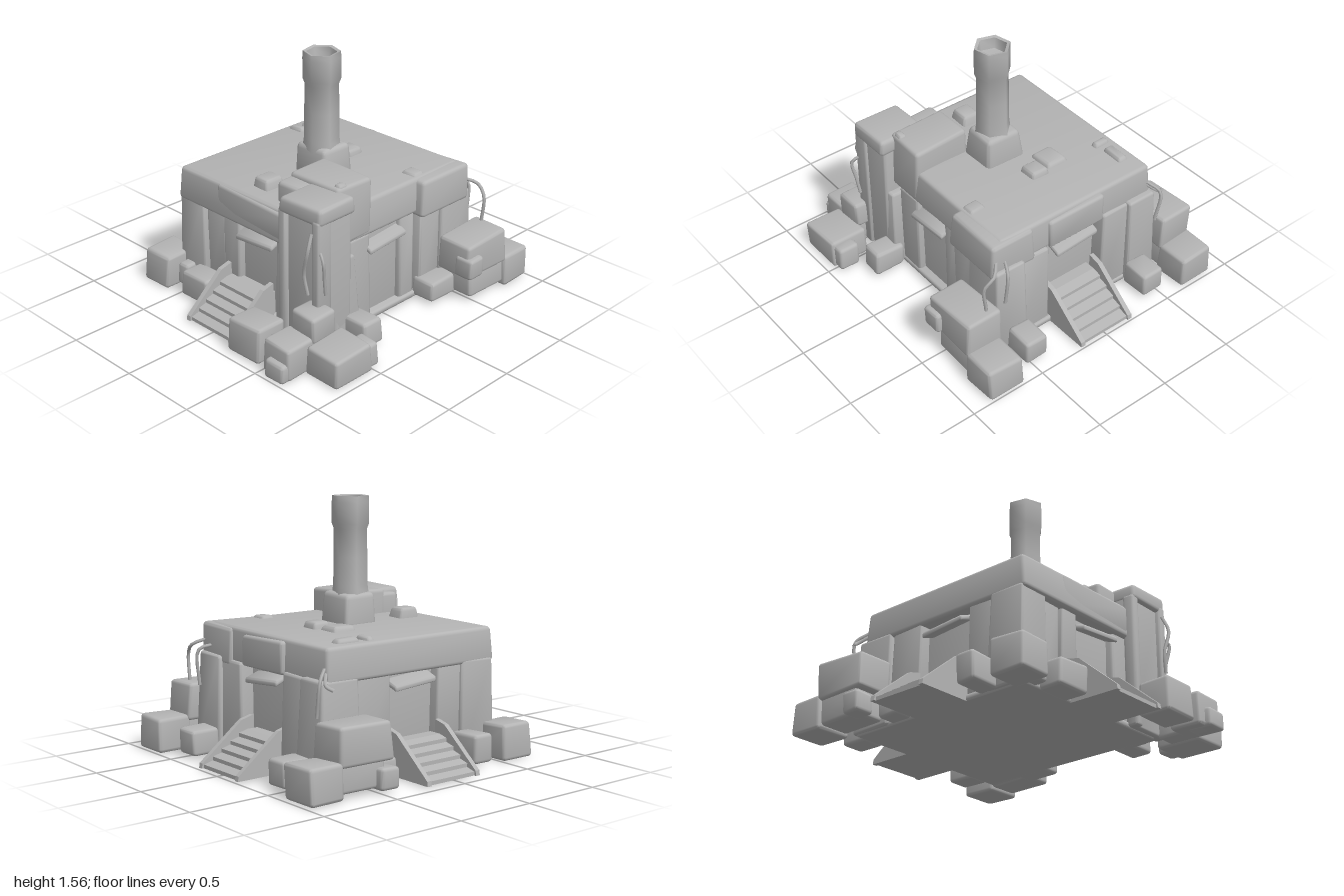
import * as THREE from 'three';
import { RoundedBoxGeometry } from 'three/addons/geometries/RoundedBoxGeometry.js';
import { toCreasedNormals } from 'three/addons/utils/BufferGeometryUtils.js';

export function createModel() {
  const model = new THREE.Group();
  const stone = new THREE.MeshStandardMaterial({ color: 0xb4b4b4 });
  stone.name = 'pale stone';

  function add(name, geometry) {
    const mesh = new THREE.Mesh(geometry, stone);
    mesh.name = name;
    model.add(mesh);
    return mesh;
  }

  // Worn block given by its extents; taper narrows the top, wobble bends the sides a little
  function block(name, [x0, x1], [y0, y1], [z0, z1], taper = 0, radius = 0.018, wobble = 0.006) {
    const w = x1 - x0, h = y1 - y0, d = z1 - z0;
    const g = new RoundedBoxGeometry(w, h, d, 2, Math.min(radius, w * 0.4, h * 0.4, d * 0.4));
    const p = g.attributes.position;
    const cx = (x0 + x1) / 2, cy = (y0 + y1) / 2, cz = (z0 + z1) / 2;
    for (let i = 0; i < p.count; i++) {
      const t = p.getY(i) / h + 0.5;
      const s = 1 - taper * t;
      const x = p.getX(i) * s + cx, y = p.getY(i) + cy, z = p.getZ(i) * s + cz;
      p.setXYZ(i,
        x + wobble * Math.sin(9 * y + 7 * z),
        y + wobble * t * Math.sin(8 * x + 5 * z),
        z + wobble * Math.sin(8 * y + 6 * x));
    }
    return add(name, toCreasedNormals(g, 0.9));
  }

  // Ground slab and wall core
  block('foundation', [-0.61, 0.57], [0.02, 0.06], [-0.71, 0.58], 0, 0.01, 0);
  block('wallCore', [-0.53, 0.52], [0.03, 0.64], [-0.6, 0.51], 0, 0.01, 0);

  // Roof slab with its heavier back right corner
  block('roof', [-0.615, 0.56], [0.59, 0.805], [-0.68, 0.59], 0.025, 0.025);
  block('roofCorner', [0.3, 0.62], [0.57, 0.8], [-0.695, -0.27], 0.05, 0.025);
  block('roofFrontLip', [-0.26, 0.33], [0.59, 0.79], [0.4, 0.59], 0, 0.02);
  block('roofBackLip', [-0.22, 0.19], [0.59, 0.78], [-0.69, -0.5], 0, 0.02);

  // Flared corner pillars
  block('cornerPillar', [-0.63, -0.4], [0.03, 0.62], [0.32, 0.585], 0.1);
  block('cornerPillar', [-0.63, -0.4], [0.03, 0.62], [-0.735, -0.44], 0.12);
  block('cornerPillar', [0.38, 0.62], [0.03, 0.62], [-0.735, -0.44], 0.12);

  // Pillars and flat wall panels beside each doorway
  for (const [a, b, front] of [[-0.42, -0.25, 0.54], [-0.25, -0.11, 0.56], [0.21, 0.36, 0.56]])
    block('frontPillar', [a, b], [0.03, 0.61], [0.4, front], 0.02);
  for (const [a, b] of [[-0.44, -0.21], [0.19, 0.42]])
    block('backPillar', [a, b], [0.03, 0.61], [-0.7, -0.5], 0.1);
  for (const [a, b] of [[-0.46, -0.21], [0.15, 0.36]])
    block('leftPillar', [-0.6, -0.45], [0.03, 0.61], [a, b], 0.05);
  for (const [a, b, side] of [[-0.46, -0.28, 0.595], [-0.27, -0.14, 0.56], [0.12, 0.3, 0.56]])
    block('rightPillar', [0.42, side], [0.03, 0.61], [a, b], 0.04);

  // Corner tower, its raised back block and sunk front panel framed by posts
  block('tower', [0.33, 0.63], [0.03, 0.9], [0.36, 0.615], 0, 0.02);
  block('towerCap', [0.325, 0.655], [0.84, 0.94], [0.35, 0.645], 0.03, 0.025);
  block('towerPost', [0.32, 0.385], [0.03, 0.87], [0.56, 0.64], 0.03);
  block('towerPost', [0.59, 0.65], [0.03, 0.87], [0.54, 0.65], 0.03);
  block('towerFoot', [0.42, 0.635], [0.03, 0.55], [0.28, 0.5], 0.25);
  block('raisedRoof', [0.17, 0.56], [0.6, 0.96], [0.115, 0.4], 0.03, 0.025);
  block('raisedRoofFront', [0.17, 0.36], [0.7, 0.935], [0.36, 0.5], 0.05, 0.025);
  block('roofStone', [0.49, 0.55], [0.93, 0.975], [0.3, 0.38], 0.3);

  // Chimney base and six-sided chimney with a shallow bowl at the top
  block('chimneyBase', [-0.085, 0.19], [0.78, 0.985], [-0.115, 0.13], 0.14, 0.03);
  const profile = [[0.115, 0.96], [0.106, 1.03], [0.104, 1.2], [0.102, 1.37], [0.114, 1.4],
    [0.114, 1.53], [0.112, 1.57], [0.092, 1.565], [0.08, 1.5], [0, 1.49]]
    .map(([r, y]) => new THREE.Vector2(r, y));
  const chimney = add('chimney', toCreasedNormals(new THREE.LatheGeometry(profile, 6), 1.1));
  chimney.position.set(0.056, 0, 0.025);
  chimney.rotation.y = 0.22;

  // Loose stones on the roof
  for (const [x, z, w, d, top] of [[-0.16, -0.24, 0.17, 0.19, 0.835], [-0.01, -0.29, 0.14, 0.14, 0.85],
    [-0.015, 0.39, 0.14, 0.16, 0.86], [-0.5, -0.46, 0.08, 0.18, 0.825], [0.48, -0.33, 0.13, 0.11, 0.82],
    [-0.5, -0.32, 0.13, 0.06, 0.82], [0.06, 0.19, 0.05, 0.05, 0.83]])
    block('roofStone', [x - w / 2, x + w / 2], [0.77, top], [z - d / 2, z + d / 2], 0.25, 0.02);

  // Steps with side boards; built facing +z, then turned to their side
  function stairs(name, inner, outer, centre, angle) {
    const group = new THREE.Group();
    group.name = name;
    const n = 5, y0 = 0.02, rise = 0.19 / n, run = (outer - inner) / n;
    // Shape x is distance outwards, shape y is height
    const tread = new THREE.Shape();
    tread.moveTo(inner - 0.08, y0);
    tread.lineTo(outer, y0);
    for (let i = 0; i < n; i++) {
      tread.lineTo(outer - i * run, y0 + (i + 0.6) * rise);
      tread.lineTo(outer - (i + 1) * run, y0 + (i + 1) * rise);
    }
    tread.lineTo(inner - 0.08, y0 + n * rise);
    const board = new THREE.Shape([[inner - 0.04, y0], [outer + 0.015, y0], [outer + 0.01, 0.05],
      [inner + 0.04, 0.27], [inner - 0.04, 0.29]].map(([a, b]) => new THREE.Vector2(a, b)));
    const parts = [['treads', tread, -0.17, 0.34], ['sideBoard', board, -0.2, 0.03], ['sideBoard', board, 0.17, 0.03]];
    for (const [part, shape, x, depth] of parts) {
      const g = new THREE.ExtrudeGeometry(shape, { depth, bevelEnabled: false });
      g.rotateY(-Math.PI / 2);
      g.translate(x + depth, 0, 0);
      const mesh = new THREE.Mesh(g, stone);
      mesh.name = part;
      group.add(mesh);
    }
    group.rotation.y = angle;
    group.position.set(...centre);
    model.add(group);
  }
  stairs('frontStairs', 0.6, 0.885, [-0.01, 0, 0], 0);
  stairs('backStairs', 0.67, 0.98, [-0.005, 0, 0], Math.PI);
  stairs('leftStairs', 0.64, 0.935, [0, 0, -0.035], -Math.PI / 2);

  // Crooked awnings above the doorways
  function awning(x, y, z, angle) {
    const g = new RoundedBoxGeometry(0.31, 0.035, 0.1, 2, 0.012);
    const p = g.attributes.position;
    for (let i = 0; i < p.count; i++) {
      const px = p.getX(i), pz = p.getZ(i);
      p.setY(i, p.getY(i) + 0.08 * px - 0.35 * pz - 0.5 * px * px);
    }
    const mesh = add('awning', toCreasedNormals(g, 0.7));
    mesh.position.set(x, y, z);
    mesh.rotation.y = angle;
  }
  awning(0.06, 0.55, 0.55, 0);
  awning(-0.01, 0.55, -0.65, Math.PI);
  awning(0.54, 0.53, 0, Math.PI / 2);
  awning(-0.57, 0.55, -0.03, -Math.PI / 2);

  // Crates and rubble around the foot of the walls
  const crates = [
    [[0.2, 0.46], [0.015, 0.23], [0.73, 0.94]],
    [[0.5, 0.71], [0.015, 0.22], [0.74, 0.95]],
    [[0.55, 0.7], [0.01, 0.13], [0.82, 0.99]],
    [[0.7, 0.955], [0.01, 0.195], [0.51, 0.81]],
    [[0.58, 0.75], [0.02, 0.19], [0.6, 0.77]],
    [[0.53, 0.72], [0.18, 0.34], [0.57, 0.76]],
    [[0.8, 0.94], [0.02, 0.17], [0.445, 0.55]],
    [[0.58, 0.79], [0.03, 0.18], [0.26, 0.41]],
    [[-0.8, -0.58], [0.01, 0.23], [0.5, 0.74]],
    [[-0.58, -0.49], [0.03, 0.18], [0.53, 0.66]],
    [[-0.47, -0.23], [0.02, 0.185], [0.56, 0.73]],
    [[-0.81, -0.6], [0.03, 0.2], [0.26, 0.4]],
    [[-0.72, -0.58], [0.03, 0.16], [-0.42, -0.26]],
    [[0.55, 0.72], [0.03, 0.16], [-0.5, -0.26]],
    [[0.77, 0.905], [0.2, 0.34], [-0.53, -0.4]],
    [[-0.9, -0.77], [0.03, 0.16], [-0.53, -0.4]],
  ];
  for (const side of [-1, 1]) {
    const span = (a, b) => (side > 0 ? [a, b] : [-b, -a]);
    crates.push(
      [span(0.625, 0.87), [0.19, 0.415], [-0.785, -0.41]],
      [span(0.64, 0.85), [0.04, 0.22], [-0.8, -0.46]],
      [span(0.63, 0.875), [0.015, 0.22], [-0.99, -0.76]],
      [span(0.38, 0.54), [0.03, 0.19], [-0.91, -0.72]]);
  }
  for (const c of crates) block('crate', ...c, 0.03, 0.022, 0.007);

  // Thin vines hanging from the corners
  const vines = [
    [[0.6, 0.8, 0.65], [0.61, 0.7, 0.69], [0.57, 0.55, 0.68], [0.59, 0.42, 0.67]],
    [[0.64, 0.68, 0.62], [0.68, 0.65, 0.64], [0.67, 0.53, 0.62], [0.66, 0.42, 0.6]],
    [[0.58, 0.7, -0.67], [0.65, 0.66, -0.74], [0.71, 0.6, -0.73], [0.7, 0.43, -0.73]],
    [[0.52, 0.67, -0.67], [0.56, 0.64, -0.75], [0.57, 0.42, -0.74]],
    [[-0.58, 0.68, -0.67], [-0.63, 0.62, -0.74], [-0.6, 0.42, -0.74]],
    [[-0.58, 0.66, -0.66], [-0.65, 0.6, -0.71], [-0.69, 0.58, -0.69]],
  ];
  for (const points of vines) {
    const path = new THREE.CatmullRomCurve3(points.map((p) => new THREE.Vector3(...p)));
    add('vine', new THREE.TubeGeometry(path, 10, 0.011, 5));
  }
  return model;
}
